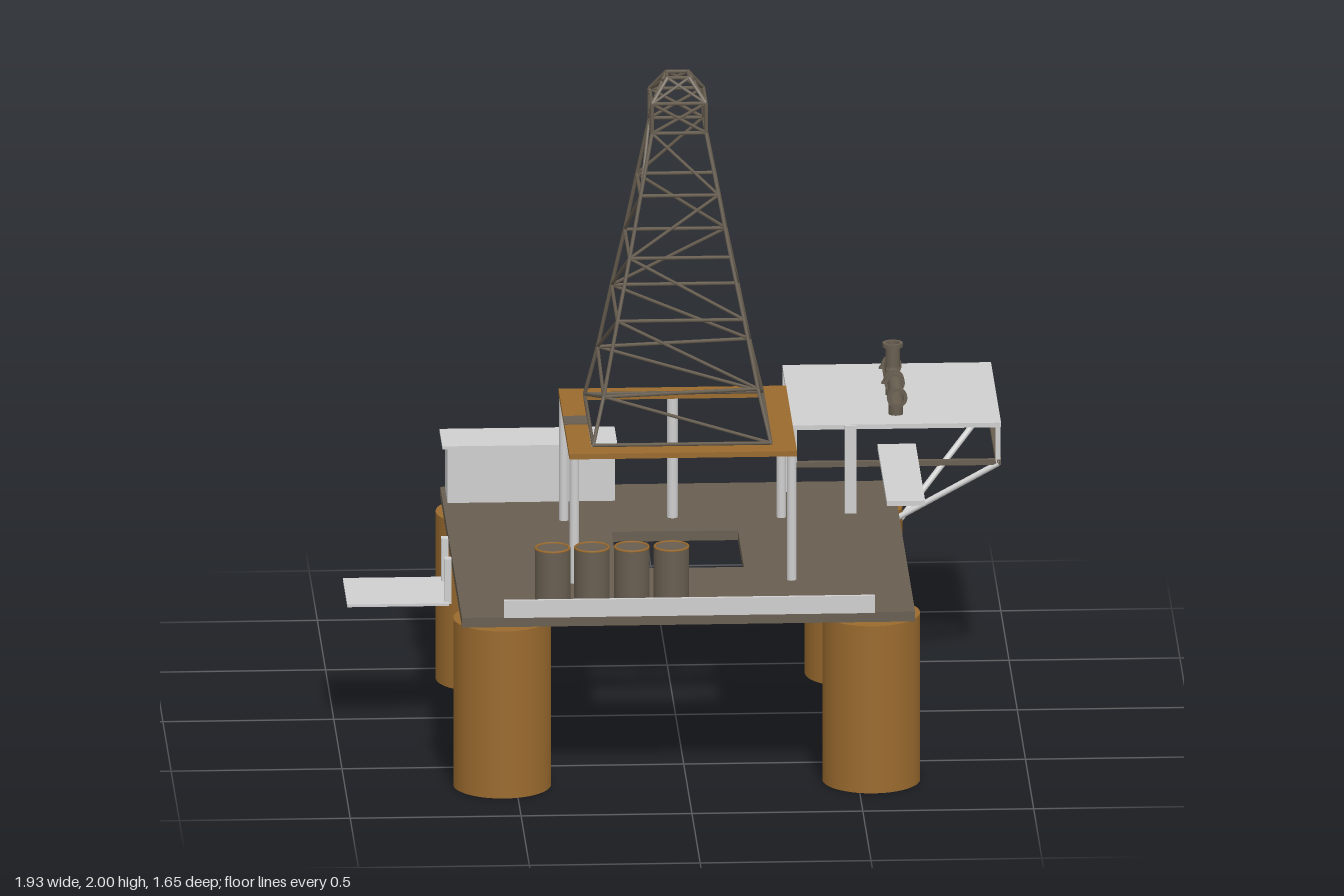
import * as THREE from 'three';

export function createModel() {
  const root = new THREE.Group();
  root.name = 'drillingPlatform';
  const mat = (name, color) => {
    const m = new THREE.MeshStandardMaterial({ color, side: THREE.DoubleSide });
    m.name = name;
    return m;
  };
  const rust = mat('rustOrange', 0x9a6a2e);
  const brown = mat('darkBrown', 0x685e50);
  const grey = mat('lightGrey', 0xcfcfcf);

  const V = (x, y, z) => new THREE.Vector3(x, y, z);
  const add = (name, geo, material, parent = root) => {
    const m = new THREE.Mesh(geo, material);
    m.name = name;
    parent.add(m);
    return m;
  };
  const group = (name) => {
    const g = new THREE.Group();
    g.name = name;
    root.add(g);
    return g;
  };
  // box given by its min and max on each axis
  const box = (name, x0, x1, y0, y1, z0, z1, m, parent) => {
    const b = add(name, new THREE.BoxGeometry(x1 - x0, y1 - y0, z1 - z0), m, parent);
    b.position.set((x0 + x1) / 2, (y0 + y1) / 2, (z0 + z1) / 2);
    return b;
  };
  // round bar or open pipe between two points
  const bar = (name, a, b, r, m, parent, sides = 6, open = false) => {
    const d = b.clone().sub(a);
    const c = add(name, new THREE.CylinderGeometry(r, r, d.length(), sides, 1, open), m, parent);
    c.position.copy(a).add(b).multiplyScalar(0.5);
    c.quaternion.setFromUnitVectors(V(0, 1, 0), d.normalize());
    return c;
  };
  // horizontal slab with a square hole, centred on cz
  const framedSlab = (name, x, z0, z1, hole, cz, y, h, m) => {
    const s = new THREE.Shape([[-x, -z0], [-x, -z1], [x, -z1], [x, -z0]].map(p => new THREE.Vector2(...p)));
    s.holes.push(new THREE.Path([[-hole, -cz - hole], [hole, -cz - hole], [hole, -cz + hole], [-hole, -cz + hole]]
      .map(p => new THREE.Vector2(...p))));
    const g = new THREE.ExtrudeGeometry(s, { depth: h, bevelEnabled: false });
    g.rotateX(-Math.PI / 2);
    add(name, g, m).position.y = y;
  };

  // hollow legs, closed at the top
  for (const x of [-0.54, 0.54]) for (const z of [-0.397, 0.68]) {
    bar('leg', V(x, 0, z), V(x, 0.51, z), 0.143, rust, root, 40, true);
    const cap = add('legTop', new THREE.CircleGeometry(0.143, 40), rust);
    cap.rotation.x = -Math.PI / 2;
    cap.position.set(x, 0.51, z);
  }

  // main deck and raised drill floor
  const cz = 0.135;
  framedSlab('deck', 0.663, -0.53, 0.795, 0.185, cz, 0.515, 0.03, brown);
  framedSlab('drillFloor', 0.333, -0.195, 0.468, 0.265, cz, 0.925, 0.016, rust);
  box('drillFloorPlate', -0.334, -0.265, 0.938, 0.944, 0.09, 0.17, brown);
  for (const x of [-0.318, 0.318]) for (const z of [-0.18, 0.453])
    bar('drillFloorPost', V(x, 0.515, z), V(x, 0.93, z), 0.014, grey, root, 12);
  bar('drillFloorPost', V(0, 0.515, -0.195), V(0, 0.935, -0.195), 0.016, grey, root, 12);

  // derrick: levels are [height, half width]
  const derrick = group('derrick');
  const levels = [[0.945, 0.26], [1.1, 0.224], [1.3, 0.185], [1.48, 0.148], [1.66, 0.114],
    [1.84, 0.079], [1.93, 0.079], [1.995, 0.032]];
  const signs = [[1, 1], [-1, 1], [-1, -1], [1, -1]];
  const node = (i, c) => {
    const [y, w] = levels[i], [sx, sz] = signs[c % 4];
    const tilt = i === 1 ? (sx - sz) * 0.009 : 0;
    return V(sx * (w - tilt * 0.2), y + tilt, cz + sz * w);
  };
  levels.forEach((_, i) => {
    for (let c = 0; c < 4; c++) {
      bar('derrickRing', node(i, c), node(i, c + 1), 0.0055, brown, derrick);
      if (i === levels.length - 1) continue;
      bar('derrickLeg', node(i, c), node(i + 1, c), 0.006, brown, derrick);
      const rising = (a, b) => bar('derrickBrace', node(i, a), node(i + 1, b), 0.005, brown, derrick);
      const n = c + 1;
      const frontFace = c % 2 === 0;
      if (i >= 5) {
        rising(c, n);
        rising(n, c);
      } else if (frontFace) {
        // low bays match front to back, higher bays cross over
        const fromLeft = i < 2 ? c === 0 : i % 2 === 0;
        if (fromLeft) rising(c, n); else rising(n, c);
      } else {
        const towardFront = i < 4;
        if (towardFront === (c === 1)) rising(n, c); else rising(c, n);
      }
    }
  });

  // landing platform with lower frame, posts and struts
  const pad = group('landingPlatform');
  const [px0, px1, pz0, pz1] = [0.352, 0.963, -0.825, -0.213];
  box('landingSlab', px0, px1, 0.799, 0.813, pz0, pz1, grey, pad);
  for (const x of [px0, px1 - 0.016]) {
    box('lowerFrame', x, x + 0.016, 0.684, 0.7, pz0, pz1, brown, pad);
    for (const z of [pz0, pz1 - 0.014]) box('cornerPost', x, x + 0.014, 0.69, 0.8, z, z + 0.014, grey, pad);
  }
  for (const z of [pz0, pz1 - 0.016]) box('lowerFrame', px0, px1, 0.684, 0.7, z, z + 0.016, brown, pad);
  box('supportPost', 0.34, 0.36, 0.54, 0.812, -0.465, -0.43, grey, pad);
  box('supportPost', 0.505, 0.54, 0.54, 0.812, -0.222, -0.202, grey, pad);
  bar('strut', V(0.955, 0.687, -0.815), V(0.64, 0.38, -0.5), 0.009, grey, pad, 8);
  bar('strut', V(0.955, 0.687, -0.22), V(0.66, 0.525, -0.22), 0.009, grey, pad, 8);
  bar('strut', V(0.36, 0.687, -0.815), V(0.36, 0.525, -0.525), 0.009, grey, pad, 8);

  // hollow pipe fittings with flanged ends
  const fittings = group('pipeFittings');
  const X = 0.66, R = 0.021;
  const flange = (p, axis) => {
    const s = new THREE.Shape().absarc(0, 0, 0.03, 0, Math.PI * 2);
    s.holes.push(new THREE.Path().absarc(0, 0, R - 0.001, 0, Math.PI * 2));
    const g = new THREE.ExtrudeGeometry(s, { depth: 0.012, bevelEnabled: false, curveSegments: 12 });
    g.translate(0, 0, -0.006);
    const m = add('flange', g, brown, fittings);
    m.position.copy(p);
    if (axis === 'y') m.rotation.x = Math.PI / 2;
  };
  const pipe = (y0, z0, y1, z1) =>
    bar('pipe', V(X, y0, z0), V(X, y1, z1), R, brown, fittings, 20, true);
  // straight piece
  pipe(0.803, -0.785, 0.803, -0.62);
  for (const z of [-0.778, -0.627]) flange(V(X, 0.803, z), 'z');
  // cross piece, four arms closed on both cheeks
  for (const s of [-1, 1]) {
    pipe(0.88, -0.515 + s * 0.015, 0.88, -0.515 + s * 0.08);
    flange(V(X, 0.88, -0.515 + s * 0.075), 'z');
    pipe(0.88 + s * 0.015, -0.515, 0.88 + s * 0.09, -0.515);
    flange(V(X, 0.88 + s * 0.085, -0.515), 'y');
    box('crossCheek', X + s * 0.017 - 0.003, X + s * 0.017 + 0.003, 0.862, 0.898, -0.533, -0.497, brown, fittings);
  }
  // tee piece
  pipe(0.885, -0.4, 0.885, -0.237);
  for (const z of [-0.394, -0.243]) flange(V(X, 0.885, z), 'z');
  pipe(0.866, -0.318, 0.785, -0.318);
  flange(V(X, 0.79, -0.318), 'y');

  // storage drums
  for (const x of [-0.395, -0.28, -0.163, -0.047]) {
    bar('drum', V(x, 0.545, 0.73), V(x, 0.735, 0.73), 0.052, brown, root, 24);
    const rim = add('drumRim', new THREE.TorusGeometry(0.049, 0.004, 6, 24), rust);
    rim.rotation.x = Math.PI / 2;
    rim.position.set(x, 0.735, 0.73);
  }

  // cabin with overhanging lid
  box('cabin', -0.65, -0.16, 0.54, 0.712, -0.522, -0.365, grey);
  box('cabinLid', -0.665, -0.153, 0.711, 0.721, -0.533, -0.355, grey);

  // front kerb and side walkway
  box('frontKerb', -0.54, 0.545, 0.543, 0.596, 0.786, 0.797, grey);
  box('walkway', 0.598, 0.71, 0.757, 0.772, -0.15, 0.428, grey);

  // hanging boat landing
  box('boatLanding', -0.97, -0.672, 0.402, 0.41, -0.07, 0.2, grey);
  for (const z of [-0.035, 0.172]) box('landingHanger', -0.684, -0.664, 0.404, 0.54, z - 0.016, z + 0.016, grey);

  return root;
}
